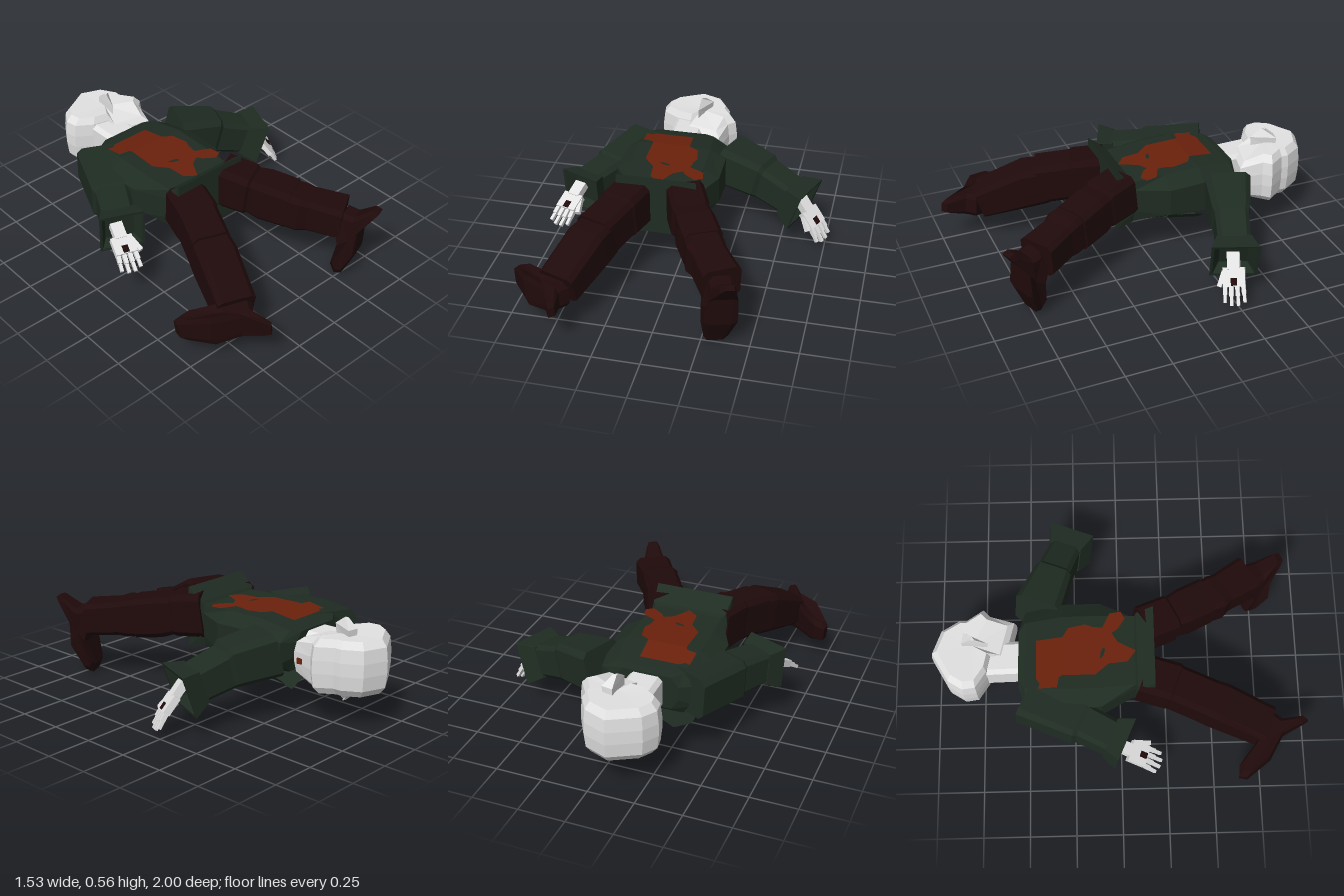
import * as THREE from 'three';

const mat = (name, color, side = THREE.FrontSide) => {
  const m = new THREE.MeshStandardMaterial({ color, side });
  m.name = name;
  return m;
};
const V = (x, y, z) => new THREE.Vector3(x, y, z);

// Flat-shaded skin over a list of equal-length rings, capped at both ends
function loft(rings) {
  const n = rings[0].length, tris = [];
  for (let i = 0; i < rings.length - 1; i++) {
    for (let j = 0; j < n; j++) {
      const k = (j + 1) % n, a = rings[i], b = rings[i + 1];
      tris.push([a[j], a[k], b[k]], [a[j], b[k], b[j]]);
    }
  }
  const cap = (ring, flip) => {
    const c = ring.reduce((s, p) => s.add(p), V(0, 0, 0)).divideScalar(n);
    ring.forEach((p, j) => {
      const q = ring[(j + 1) % n];
      tris.push(flip ? [c, q, p] : [c, p, q]);
    });
  };
  cap(rings[0], true);
  cap(rings[rings.length - 1], false);
  // Turn the skin outward if its signed volume is negative
  const volume = tris.reduce((s, [a, b, c]) => s + a.dot(b.clone().cross(c)), 0);
  if (volume < 0) tris.forEach((t) => t.reverse());
  const g = new THREE.BufferGeometry().setFromPoints(tris.flat());
  g.computeVertexNormals();
  return g;
}

// Chamfered box sections [x, y, z, halfWidth, halfHeight, chamfer] strung along one direction
function limb(sections) {
  const at = (s) => V(s[0], s[1], s[2]);
  const far = sections.reduce((b, s) => (at(s).distanceTo(at(sections[0])) > at(b).distanceTo(at(sections[0])) ? s : b));
  const dir = at(far).sub(at(sections[0])).normalize();
  const side = V(0, 1, 0).cross(dir).normalize(), up = dir.clone().cross(side);
  return loft(sections.map((s) => {
    const [, , , w, h, k = 0.25] = s, e = 1 - k;
    return [[1, e], [e, 1], [-e, 1], [-1, e], [-1, -e], [-e, -1], [e, -1], [1, -e]]
      .map(([a, b]) => at(s).addScaledVector(side, a * w).addScaledVector(up, b * h));
  }));
}

export function createModel() {
  const model = new THREE.Group();
  model.name = 'lyingFigure';
  const green = mat('jacketGreen', 0x1f2c22);
  const lining = mat('jacketFlapGreen', 0x1f2c22, THREE.DoubleSide);
  const maroon = mat('trouserMaroon', 0x200a0b);
  const pale = mat('paleSkin', 0xe2e2e2);
  const rust = mat('rustStain', 0x6b210c, THREE.DoubleSide);
  const add = (name, geometry, material, parent = model) => {
    const mesh = new THREE.Mesh(geometry, material);
    mesh.name = name;
    parent.add(mesh);
    return mesh;
  };

  // Jacket body: z, centre x, half width, bottom, top, flat half width
  add('jacket', loft([
    [0.18, -0.117, 0.217, 0.22, 0.558, 0.215], [0.09, -0.117, 0.217, 0.235, 0.49, 0.205],
    [0.08, -0.115, 0.2, 0.24, 0.475, 0.19], [-0.1, -0.12, 0.288, 0.22, 0.48, 0.2],
    [-0.3, -0.125, 0.29, 0.2, 0.485, 0.2], [-0.5, -0.125, 0.26, 0.23, 0.455, 0.18],
    [-0.535, -0.125, 0.17, 0.26, 0.445, 0.13],
  ].map(([z, cx, w, b, t, f]) => [
    [w, t - 0.05], [f, t], [-f, t], [-w, t - 0.05], [-w, b + 0.06], [-f, b], [f, b], [w, b + 0.06],
  ].map(([x, y]) => V(cx + x, y, z)))), green);

  // Loose wavy front flaps under the chest, their forward edges hanging low
  const wave = [[-0.37, 0.2], [-0.27, 0.15], [-0.17, 0.2], [-0.06, 0.2], [0.07, 0.145], [0.12, 0.18], [0.15, 0.21]];
  [[-0.53, -0.36, 0], [-0.3, -0.1, 0.02]].forEach(([z0, z1, lift]) => {
    const g = new THREE.PlaneGeometry(1, 1, wave.length - 1, 1), p = g.attributes.position;
    for (let j = 0; j < p.count; j++) {
      const [x, y] = wave[j % wave.length], front = j < wave.length;
      p.setXYZ(j, x, y + lift + (front ? 0 : 0.04), front ? z0 : z1);
    }
    const flat = g.toNonIndexed();
    flat.computeVertexNormals();
    add('jacketFlap', flat, lining);
  });
  add('chestStain', new THREE.BoxGeometry(0.03, 0.006, 0.12).rotateX(-0.23).translate(-0.115, 0.214, -0.46), rust);

  // Stain on the back, in two panels that meet along the shoulder bend
  const topY = (z) => (z < -0.3 ? 0.485 - (-0.3 - z) * 0.15 : 0.485 - (z + 0.3) * 0.0263);
  const panel = (name, pts, lift, material) => {
    const g = new THREE.ShapeGeometry(new THREE.Shape(pts.map(([x, z]) => new THREE.Vector2(x, -z))));
    g.rotateX(-Math.PI / 2);
    const p = g.attributes.position;
    for (let j = 0; j < p.count; j++) p.setY(j, topY(p.getZ(j)) + lift);
    g.computeVertexNormals();
    add(name, g, material);
  };
  panel('backStain', [[-0.315, -0.43], [-0.29, -0.42], [-0.26, -0.44], [-0.05, -0.44], [-0.04, -0.3], [-0.25, -0.3],
    [-0.26, -0.32], [-0.315, -0.33]], 0.006, rust);
  panel('backStain', [[-0.25, -0.3], [-0.04, -0.3], [0.01, -0.27], [0.03, -0.18], [0.015, -0.14], [0.01, -0.09],
    [0.09, -0.05], [0.1, 0.01], [0.06, 0.03], [0, -0.01], [-0.02, -0.04], [-0.07, -0.01], [-0.12, 0.085],
    [-0.18, 0.04], [-0.19, -0.06], [-0.25, -0.13]], 0.006, rust);
  panel('stainTear', [[-0.165, -0.105], [-0.13, -0.1], [-0.105, -0.09], [-0.11, -0.075], [-0.145, -0.085]], 0.009, lining);

  // Sleeves with flared, hollow cuffs
  add('leftSleeve', limb([
    [0.15, 0.36, -0.44, 0.125, 0.12], [0.37, 0.325, -0.355, 0.1, 0.11], [0.39, 0.31, -0.35, 0.09, 0.1],
    [0.56, 0.25, -0.285, 0.085, 0.09],
  ]), green);
  add('leftCuff', limb([
    [0.53, 0.258, -0.295, 0.09, 0.09, 0.02], [0.622, 0.225, -0.26, 0.125, 0.12, 0.02],
    [0.621, 0.2255, -0.2605, 0.11, 0.105, 0.02], [0.57, 0.242, -0.28, 0.075, 0.075, 0.02],
  ]), green);
  add('rightSleeve', limb([
    [-0.33, 0.355, -0.5, 0.12, 0.11], [-0.465, 0.33, -0.22, 0.1, 0.11], [-0.47, 0.33, -0.2, 0.09, 0.1],
    [-0.56, 0.32, -0.03, 0.085, 0.09],
  ]), green);
  add('rightCuff', limb([
    [-0.545, 0.32, -0.06, 0.09, 0.09, 0.02], [-0.58, 0.312, 0.02, 0.12, 0.115, 0.02],
    [-0.5795, 0.312, 0.019, 0.105, 0.1, 0.02], [-0.56, 0.316, -0.03, 0.075, 0.075, 0.02],
  ]), green);

  // Trouser legs, with stepped folds at hip and knee
  add('leftThigh', limb([
    [0.025, 0.41, 0.12, 0.1, 0.12], [0.09, 0.395, 0.27, 0.1, 0.115], [0.1, 0.39, 0.28, 0.09, 0.105],
    [0.13, 0.38, 0.34, 0.1, 0.115], [0.2, 0.36, 0.47, 0.1, 0.11],
  ]), maroon);
  add('leftShin', limb([
    [0.18, 0.36, 0.44, 0.09, 0.105], [0.22, 0.355, 0.52, 0.1, 0.105], [0.25, 0.35, 0.56, 0.09, 0.095],
    [0.345, 0.335, 0.71, 0.1, 0.09],
  ]), maroon);
  add('rightThigh', limb([
    [-0.24, 0.385, 0.12, 0.105, 0.125], [-0.29, 0.38, 0.28, 0.105, 0.12], [-0.295, 0.375, 0.29, 0.1, 0.115],
    [-0.37, 0.345, 0.47, 0.1, 0.115],
  ]), maroon);
  add('rightShin', limb([
    [-0.355, 0.34, 0.44, 0.1, 0.11], [-0.385, 0.325, 0.52, 0.105, 0.115], [-0.477, 0.232, 0.77, 0.1, 0.085],
  ]), maroon);

  // Shoes: one side profile (heel to toe, sole to ankle) in two frames
  const profile = [[0, 0], [0.14, 0.045], [0.29, 0], [0.45, 0.015], [0.475, 0.05], [0.43, 0.09],
    [0.28, 0.11], [0.21, 0.16], [0.1, 0.16], [0.09, 0.1], [0, 0.035]];
  const shoe = (name, heel, toe, ankle) => {
    toe.normalize();
    ankle.addScaledVector(toe, -ankle.dot(toe)).normalize();
    const side = toe.clone().cross(ankle);
    add(name, loft([-0.088, -0.055, 0.055, 0.088].map((w) => profile.map(([a, b]) => {
      const f = Math.abs(w) > 0.06 ? 0.85 : 1;
      const narrow = 0.45 + 0.55 * Math.sin(Math.PI * Math.min(1, a / 0.55));
      return heel.clone().addScaledVector(toe, 0.22 + (a - 0.22) * f)
        .addScaledVector(ankle, 0.06 + (b - 0.06) * f).addScaledVector(side, w * narrow);
    }))), maroon);
  };
  shoe('leftShoe', V(0.42, 0.435, 0.89), V(-0.2, -0.94, -0.27), V(-0.35, 0.2, -0.88));
  shoe('rightShoe', V(-0.455, 0.235, 1.0), V(-0.67, -0.13, -0.72), V(0.73, 0, -0.67));

  // Head lying on its side, face towards +x and crown towards -z
  const outline = [[-0.31, -0.83], [-0.26, -0.91], [-0.1, -1], [0.03, -0.95], [0.09, -0.85], [0.09, -0.81],
    [0.15, -0.72], [0.11, -0.68], [0.08, -0.55], [-0.12, -0.6], [-0.12, -0.68], [-0.21, -0.7], [-0.3, -0.76]];
  add('head', loft([[0.187, 0.82], [0.225, 0.96], [0.3, 1], [0.37, 1], [0.44, 0.96], [0.478, 0.82]].map(([y, s]) =>
    outline.map(([x, z]) => {
      const slim = z > -0.66 ? 0.75 : 1;
      return V(-0.09 + (x + 0.09) * s, 0.333 + (y - 0.333) * slim, -0.79 + (z + 0.79) * s);
    }))), pale);
  // Wedge ears flaring up and down from the sides of the head
  [1, -1].forEach((s) => add(s > 0 ? 'leftEar' : 'rightEar', loft([
    [0.1, [[-0.075, -0.7], [-0.07, -0.83], [-0.02, -0.82]]],
    [0.175, [[-0.075, -0.69], [-0.07, -0.83], [-0.01, -0.82]]],
    [0.222, [[-0.07, -0.755], [-0.07, -0.775], [-0.05, -0.77]]],
  ].map(([h, pts]) => pts.map(([x, z]) => V(x, 0.333 + s * h, z)))), pale));
  add('neck', limb([[-0.12, 0.345, -0.5, 0.09, 0.09], [-0.125, 0.345, -0.72, 0.09, 0.09]]), pale);
  add('mouthStain', new THREE.BoxGeometry(0.009, 0.03, 0.045).rotateY(0.227).translate(0.092, 0.322, -0.605), rust);

  // Bony hands: palm, four two-jointed fingers and a thumb, pointing along local z
  const hand = (name, pos, target, thumbSide, roll) => {
    const h = new THREE.Group();
    h.name = name;
    model.add(h);
    h.position.copy(pos);
    h.lookAt(target);
    h.rotateZ(roll);
    add('wrist', new THREE.BoxGeometry(0.065, 0.045, 0.09).translate(0, 0, -0.02), pale, h);
    add('palm', new THREE.BoxGeometry(0.115, 0.038, 0.1).translate(0, 0, 0.065), pale, h);
    add('handMark', new THREE.BoxGeometry(0.032, 0.045, 0.04).translate(0, 0, 0.09), maroon, h);
    for (let i = 0; i < 4; i++) {
      const x = (i - 1.5) * 0.031, len = 0.054 - Math.abs(i - 1.5) * 0.008;
      const finger = new THREE.Group();
      finger.name = 'finger';
      finger.position.set(x, 0, 0.112);
      finger.rotation.set(0.12, (i - 1.5) * 0.04, 0);
      h.add(finger);
      add('knuckle', new THREE.BoxGeometry(0.022, 0.024, len).translate(0, 0, len / 2), pale, finger);
      add('fingertip', new THREE.BoxGeometry(0.017, 0.018, len).translate(0, -0.003, len * 1.5), pale, finger);
    }
    const thumb = add('thumb', new THREE.BoxGeometry(0.024, 0.026, 0.085).translate(0, 0, 0.04), pale, h);
    thumb.position.set(thumbSide * 0.05, 0, 0.035);
    thumb.rotation.y = thumbSide * 0.35;
  };
  hand('leftHand', V(0.632, 0.215, -0.25), V(0.765, 0.04, -0.2), -1, 0.2);
  hand('rightHand', V(-0.607, 0.31, 0.03), V(-0.675, 0.2, 0.24), 1, 0);

  return model;
}
